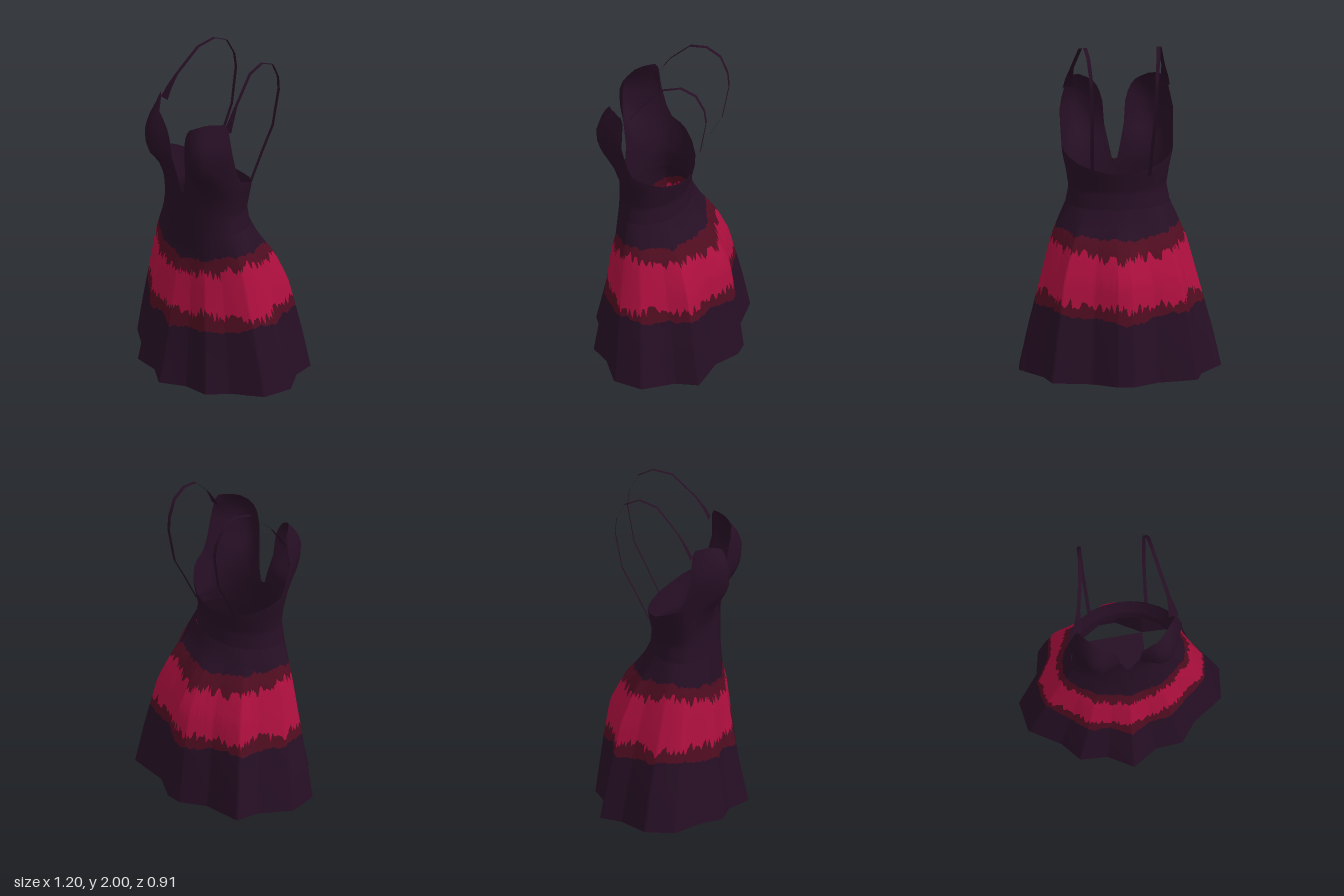
import * as THREE from 'three';

const mat = (name, color) => new THREE.MeshStandardMaterial({ name, color, side: THREE.DoubleSide });
const rad = THREE.MathUtils.degToRad;

// piecewise linear lookup in [[key, value], ...]
function lookup(table, k) {
  if (k <= table[0][0]) return table[0][1];
  for (let i = 1; i < table.length; i++) {
    const [k0, v0] = table[i - 1], [k1, v1] = table[i];
    if (k <= k1) return v0 + (v1 - v0) * (k - k0) / (k1 - k0);
  }
  return table[table.length - 1][1];
}

// body cross-section: half width, front depth and bust fullness by height
const WIDTH = [[1, 0.31], [1.1, 0.29], [1.2, 0.305], [1.3, 0.327], [1.4, 0.335], [1.53, 0.352], [1.6, 0.348], [1.68, 0.325], [1.74, 0.32]];
const BACK = [[1, 0.23], [1.1, 0.22], [1.22, 0.245]];
const BUST = [[1.22, 0], [1.33, 0.04], [1.4, 0.1], [1.47, 0.13], [1.57, 0.137], [1.65, 0.11], [1.72, 0.06], [1.74, 0.035]];
function body(a, y) {
  const c = Math.cos(a), d = (Math.abs(a) - rad(38)) / rad(25);
  const z = 0.1 + c * (c > 0 ? 0.175 : lookup(BACK, y)) + lookup(BUST, y) * Math.exp(-d * d);
  return new THREE.Vector3(lookup(WIDTH, y) * Math.sin(a), y, z);
}

// surface from a grid of points; rows run upward, columns run round the body
function gridGeometry(cols, rows, closed, point) {
  const pos = [], idx = [];
  for (let j = 0; j < rows; j++) for (let i = 0; i < cols; i++) pos.push(...point(i, j).toArray());
  for (let j = 0; j < rows - 1; j++) {
    for (let i = 0; i < (closed ? cols : cols - 1); i++) {
      const n = (i + 1) % cols, a = j * cols + i, b = j * cols + n;
      idx.push(a, b, b + cols, a, b + cols, a + cols);
    }
  }
  const g = new THREE.BufferGeometry();
  g.setAttribute('position', new THREE.Float32BufferAttribute(pos, 3));
  g.setIndex(idx);
  g.computeVertexNormals();
  return g;
}

// bodice: each column rises from the waist to the neckline at its angle
const NECKLINE = [[0, 1.21], [3, 1.215], [6, 1.3], [10, 1.42], [11, 1.55], [14, 1.61], [18, 1.65], [23, 1.68],
  [30, 1.7], [40, 1.725], [48, 1.735], [56, 1.735], [64, 1.735], [70, 1.7], [73, 1.55], [80, 1.42], [90, 1.345],
  [104, 1.32], [114, 1.3], [130, 1.265], [150, 1.24], [165, 1.225]];
function bodiceGeometry() {
  const half = NECKLINE.slice(1);
  const columns = [NECKLINE[0], ...half, [180, 1.22], ...half.map(([a, y]) => [-a, y]).reverse()];
  const rows = 19;
  return gridGeometry(columns.length, rows, true, (i, j) => {
    const [a, top] = columns[i];
    return body(rad(a), 0.995 + (top - 0.995) * j / (rows - 1));
  });
}

// skirt: scalloped hem (x, z), left half from front to back
const HEM = [[0, 0.455], [0.145, 0.365], [0.307, 0.356], [0.4, 0.24], [0.582, 0.126],
  [0.605, -0.058], [0.47, -0.217], [0.434, -0.356], [0.195, -0.37], [0.048, -0.457]];
// flare by height: 1 at the hem, 0 at the waist
const FLARE = {
  front: [[0, 1], [0.3, 0.63], [0.7, 0.26], [0.8, 0.06], [1, 0]],
  side: [[0, 1], [0.25, 0.81], [0.5, 0.58], [0.8, 0.31], [0.92, 0.13], [1, 0]],
  back: [[0, 1], [0.35, 0.86], [0.6, 0.74], [0.77, 0.47], [0.9, 0.14], [1, 0]],
};
// colour band edges, by angle from front to back
const BANDS = [
  [[0, 0.36], [90, 0.43], [180, 0.37]],
  [[0, 0.47], [90, 0.5], [180, 0.46]],
  [[0, 0.7], [90, 0.8], [180, 0.73]],
  [[0, 0.78], [90, 0.89], [180, 0.83]],
];
function skirtGeometry() {
  let seed = 7;
  const rnd = () => (seed = (seed * 16807) % 2147483647) / 2147483647 - 0.5;
  const ring = [...HEM, ...HEM.slice(1).reverse().map(([x, z]) => [-x, z])];
  const sub = 14, columns = [];
  const drift = [0, 0, 0, 0];
  ring.forEach(([x0, z0], k) => {
    const [x1, z1] = ring[(k + 1) % ring.length];
    for (let s = 0; s < sub; s++) {
      const x = x0 + (x1 - x0) * s / sub, z = z0 + (z1 - z0) * s / sub;
      const a = Math.atan2(x / 0.6, z / 0.45);
      const edges = BANDS.map((band, b) => {
        const inner = b === 1 || b === 2;
        drift[b] = drift[b] * 0.85 + rnd() * 0.018;
        return lookup(band, Math.abs(a) * 180 / Math.PI) + drift[b] + (inner ? rnd() * 0.06 : 0);
      });
      columns.push({ x, z, a, levels: [0.005 + 0.02 * (x / 0.6) ** 2, ...edges, 1] });
    }
  });
  const steps = [5, 2, 5, 2, 4];
  const place = [];
  steps.forEach((n, b) => { for (let s = 0; s < n; s++) place.push([b, s / n]); });
  place.push([4, 1]);
  const g = gridGeometry(columns.length, place.length, true, (i, j) => {
    const { x, z, a, levels } = columns[i], [b, t] = place[j];
    const y = levels[b] + (levels[b + 1] - levels[b]) * t;
    const c = Math.cos(a), w = c * c;
    const f = lookup(c > 0 ? FLARE.front : FLARE.back, y) * w + lookup(FLARE.side, y) * (1 - w);
    const p = body(a, 1);
    return new THREE.Vector3(p.x + (x - p.x) * f, y, p.z + (z - p.z) * f);
  });
  let start = 0;
  steps.forEach((n, b) => {
    const count = n * columns.length * 6;
    g.addGroup(start, count, [0, 1, 2, 1, 0][b]);
    start += count;
  });
  return g;
}

// strap: flat ribbon over the shoulder, from cup to back
const STRAP = [[0.287, 1.68, 0.165, 0.03], [0.283, 1.74, 0.135, 0.022], [0.27, 1.82, 0.085, 0.011], [0.235, 1.97, -0.05, 0.011],
  [0.217, 2, -0.16, 0.011], [0.208, 1.96, -0.25, 0.011], [0.198, 1.86, -0.3, 0.011], [0.193, 1.77, -0.31, 0.011],
  [0.185, 1.54, -0.27, 0.01], [0.178, 1.4, -0.2, 0.01], [0.17, 1.2, -0.105, 0.01]];
function strapGeometry(side) {
  return gridGeometry(2, STRAP.length, false, (i, j) => {
    const [x, y, z, w] = STRAP[j];
    return new THREE.Vector3(side * x + (i ? w : -w), y, z);
  });
}

export function createModel() {
  const dark = mat('dark plum', 0x260f24);
  const maroon = mat('maroon', 0x4f0d20);
  const crimson = mat('crimson', 0xad0f3e);
  const model = new THREE.Group();
  model.name = 'dress';
  const add = (name, geometry, material) => {
    const mesh = new THREE.Mesh(geometry, material);
    mesh.name = name;
    model.add(mesh);
  };
  add('bodice', bodiceGeometry(), dark);
  add('skirt', skirtGeometry(), [dark, maroon, crimson]);
  add('leftStrap', strapGeometry(1), dark);
  add('rightStrap', strapGeometry(-1), dark);

  // flat panel across the hem opening
  const corners = [[[-0.145, 0.365], [0.145, 0.365]], [[-0.195, -0.37], [0.195, -0.37]]];
  add('hemPanel', gridGeometry(2, 2, false, (i, j) => new THREE.Vector3(corners[j][i][0], 0.004, corners[j][i][1])), dark);
  return model;
}
